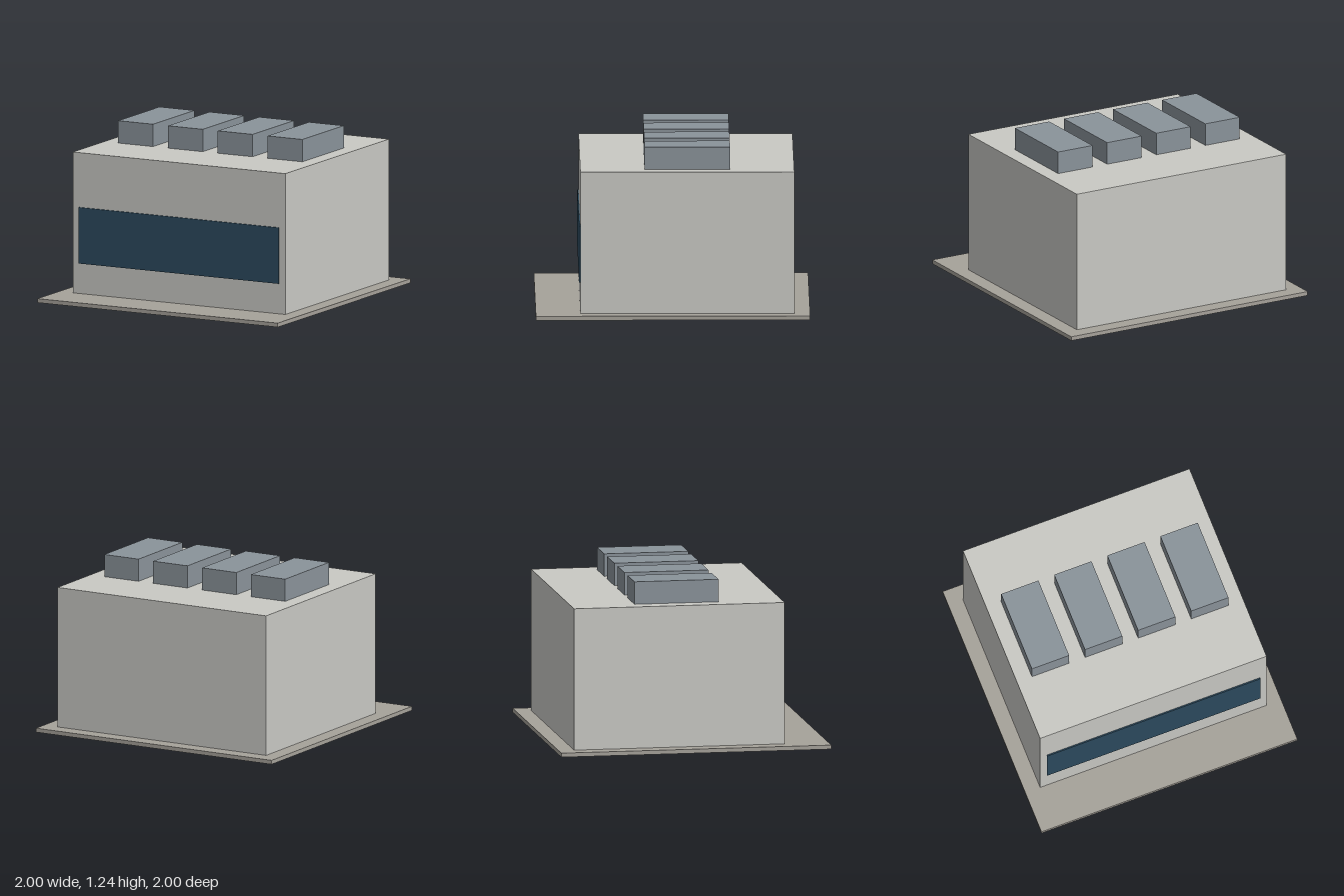
import * as THREE from 'three';

function paint(name, color) {
  const material = new THREE.MeshStandardMaterial({ color });
  material.name = name;
  return material;
}

export function createModel() {
  const model = new THREE.Group();
  model.name = 'building';

  const paving = paint('paving', 0xa6a29a);
  const concrete = paint('concrete', 0xc9c9c4);
  const glass = paint('darkGlass', 0x2c4a5e);
  const metal = paint('greyMetal', 0x8a939a);

  // Box given by its size, the centre in x and z, and the height of its underside
  function addBox(name, material, [w, h, d], x, bottom, z) {
    const mesh = new THREE.Mesh(new THREE.BoxGeometry(w, h, d), material);
    mesh.name = name;
    mesh.position.set(x, bottom + h / 2, z);
    model.add(mesh);
  }

  // Ground slab and main block, set towards the back
  addBox('groundSlab', paving, [2, 0.03, 2], 0, 0, 0);
  addBox('mainBlock', concrete, [1.77, 1.045, 1.56], 0, 0.03, -0.105);

  // Wide window band on the front wall
  addBox('windowBand', glass, [1.666, 0.416, 0.0095], 0, 0.254, 0.67975);

  // Row of four roof units
  for (let i = 0; i < 4; i++) {
    addBox(`roofUnit${i + 1}`, metal, [0.291, 0.166, 0.623], (i - 1.5) * 0.415, 1.075, -0.105);
  }

  return model;
}
